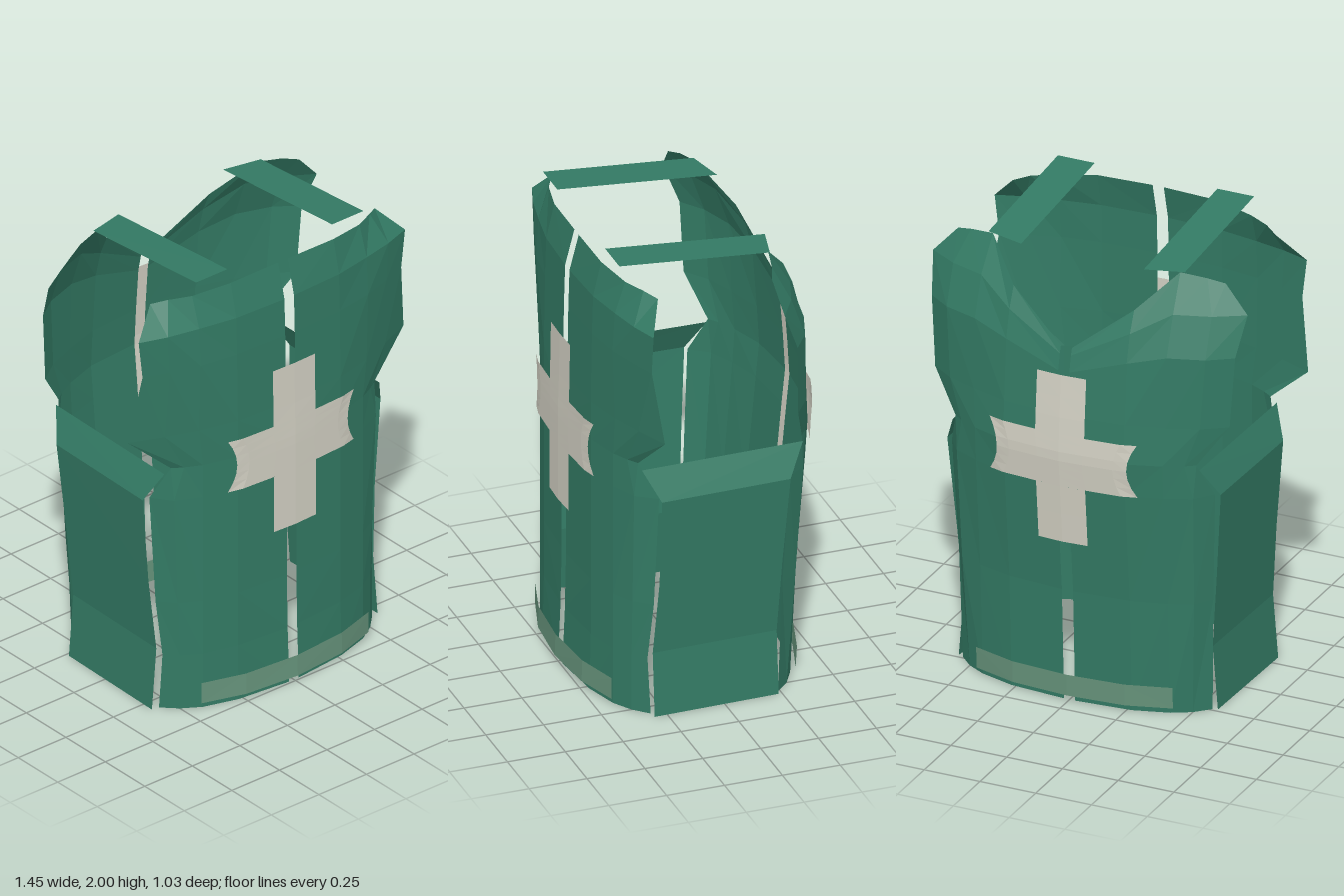
import * as THREE from 'three';

const paint = (name, color) => new THREE.MeshStandardMaterial({ name, color, flatShading: true, side: THREE.DoubleSide });

// Sheet through rows of [x, y, z] points; flip reverses the facing.
function sheet(name, rows, material, flip = false) {
  const n = rows[0].length, index = [];
  for (let r = 0; r < rows.length - 1; r++) {
    for (let c = 0; c < n - 1; c++) {
      const a = r * n + c, b = a + 1, d = a + n, e = d + 1;
      if (flip) index.push(a, b, d, b, e, d);
      else index.push(a, d, b, b, d, e);
    }
  }
  const geometry = new THREE.BufferGeometry();
  geometry.setAttribute('position', new THREE.Float32BufferAttribute(rows.flat(2), 3));
  geometry.setIndex(index);
  geometry.computeVertexNormals();
  const mesh = new THREE.Mesh(geometry, material);
  mesh.name = name;
  return mesh;
}

// Half panels, top row first, from the centre opening out to the side edge
const level = (y, pts) => pts.map(([x, z]) => [x, y, z]);
const frontRows = [
  [[0.025, 1.945, 0.42], [0.27, 1.94, 0.415], [0.44, 1.925, 0.375], [0.53, 1.92, 0.33], [0.59, 1.905, 0.29]],
  level(1.79, [[0.025, 0.46], [0.27, 0.45], [0.44, 0.42], [0.58, 0.39], [0.7, 0.35]]),
  level(1.62, [[0.025, 0.465], [0.27, 0.455], [0.44, 0.43], [0.57, 0.39], [0.68, 0.35]]),
  level(1.31, [[0.025, 0.47], [0.27, 0.46], [0.44, 0.42], [0.58, 0.37], [0.725, 0.31]]),
  level(1.14, [[0.025, 0.475], [0.27, 0.46], [0.42, 0.42], [0.49, 0.385], [0.535, 0.355]]),
  level(0.99, [[0.025, 0.475], [0.27, 0.46], [0.42, 0.42], [0.53, 0.37], [0.59, 0.285]]),
  level(0.5, [[0.025, 0.475], [0.27, 0.46], [0.42, 0.42], [0.51, 0.37], [0.57, 0.3]]),
  level(0.25, [[0.025, 0.48], [0.27, 0.46], [0.42, 0.42], [0.5, 0.37], [0.55, 0.32]]),
  level(0, [[0.025, 0.49], [0.27, 0.465], [0.42, 0.42], [0.5, 0.37], [0.56, 0.31]]),
];
const backRows = [
  [[0.025, 1.6, -0.44], [0.27, 1.79, -0.37], [0.42, 1.94, -0.25], [0.53, 1.925, -0.225], [0.6, 1.905, -0.2]],
  [[0.025, 1.57, -0.45], [0.27, 1.7, -0.41], [0.43, 1.79, -0.34], [0.58, 1.79, -0.29], [0.705, 1.79, -0.215]],
  [[0.025, 1.5, -0.465], [0.27, 1.58, -0.44], [0.43, 1.62, -0.4], [0.58, 1.62, -0.35], [0.68, 1.62, -0.28]],
  level(1.31, [[0.025, -0.48], [0.27, -0.46], [0.43, -0.41], [0.56, -0.36], [0.66, -0.29]]),
  level(1.14, [[0.025, -0.49], [0.27, -0.47], [0.42, -0.42], [0.5, -0.38], [0.54, -0.35]]),
  level(0.99, [[0.025, -0.475], [0.27, -0.455], [0.42, -0.41], [0.53, -0.36], [0.59, -0.28]]),
  level(0.5, [[0.025, -0.43], [0.27, -0.41], [0.42, -0.37], [0.52, -0.33], [0.57, -0.255]]),
  level(0, [[0.025, -0.41], [0.27, -0.39], [0.42, -0.345], [0.5, -0.3], [0.56, -0.24]]),
];

// Depth of a panel at x, y
function depthAt(rows, x, y) {
  const ax = Math.max(Math.abs(x), 0.025);
  const line = rows.map(row => {
    let i = 0;
    while (i < row.length - 2 && row[i + 1][0] < ax) i++;
    const t = (ax - row[i][0]) / (row[i + 1][0] - row[i][0]);
    return [1, 2].map(k => THREE.MathUtils.lerp(row[i][k], row[i + 1][k], t));
  });
  let j = 0;
  while (j < line.length - 2 && line[j + 1][0] > y) j++;
  const t = (y - line[j][0]) / (line[j + 1][0] - line[j][0]);
  return THREE.MathUtils.lerp(line[j][1], line[j + 1][1], t);
}

export function createModel() {
  const green = paint('vest green', 0x337a64);
  const cream = paint('emblem cream', 0xd2d0c3);
  const sage = paint('band sage', 0x66937b);
  const vest = new THREE.Group();
  vest.name = 'vest';

  // Patch that follows a panel, standing off its surface
  function patch(name, rows, sign, xs, ys, material, halfWidth) {
    const pts = ys.map(y => xs.map(u => {
      const x = u * halfWidth(y);
      return [x, y, depthAt(rows, x, y) + sign * 0.026];
    }));
    vest.add(sheet(name, pts, material, sign < 0));
  }

  for (const [face, rows, sign] of [['front', frontRows, 1], ['back', backRows, -1]]) {
    // Two halves with a centre opening
    for (const s of [1, -1]) {
      const half = rows.map(row => row.map(([x, y, z]) => [s * x, y, z]));
      vest.add(sheet(`${face}${s > 0 ? 'Left' : 'Right'}Panel`, half, green, s * sign < 0));
    }
    // Cross: upright bar above and below a crossbar with scooped ends
    const scoop = y => 0.29 + 0.04 * ((y - 1.118) / 0.118) ** 2;
    patch(`${face}CrossTop`, rows, sign, [-1, 0, 1], [1.495, 1.4, 1.31, 1.236], cream, () => 0.11);
    patch(`${face}CrossBar`, rows, sign, [-1, -0.8, -0.35, 0, 0.35, 0.8, 1],
      [1.236, 1.2, 1.16, 1.118, 1.08, 1.04, 1.0], cream, scoop);
    patch(`${face}CrossBottom`, rows, sign, [-1, 0, 1], [1.0, 0.87, 0.74], cream, () => 0.11);
    // Hem band
    patch(`${face}HemBand`, rows, sign, [-1, -0.57, 0, 0.57, 1], [0.125, 0.03], sage, () => 0.44);
  }

  // Side panels: [x, y, front z, back z]
  const side = [[0.565, 1.12, 0.35, -0.35], [0.625, 0.99, 0.285, -0.275], [0.595, 0.6, 0.285, -0.25],
    [0.57, 0.28, 0.305, -0.235], [0.593, 0, 0.305, -0.235]];
  for (const s of [1, -1]) {
    const label = s > 0 ? 'left' : 'right';
    const pts = side.map(([x, y, f, b]) => [[s * x, y, f], [s * (x - 0.012), y, b]]);
    vest.add(sheet(`${label}SidePanel`, pts, green, s < 0));
    // Shoulder strap
    const strap = [[[s * 0.275, 1.94, -0.29], [s * 0.44, 1.944, -0.25]], [[s * 0.275, 2, 0.4], [s * 0.44, 2, 0.4]]];
    vest.add(sheet(`${label}ShoulderStrap`, strap, green, s < 0));
  }
  return vest;
}
